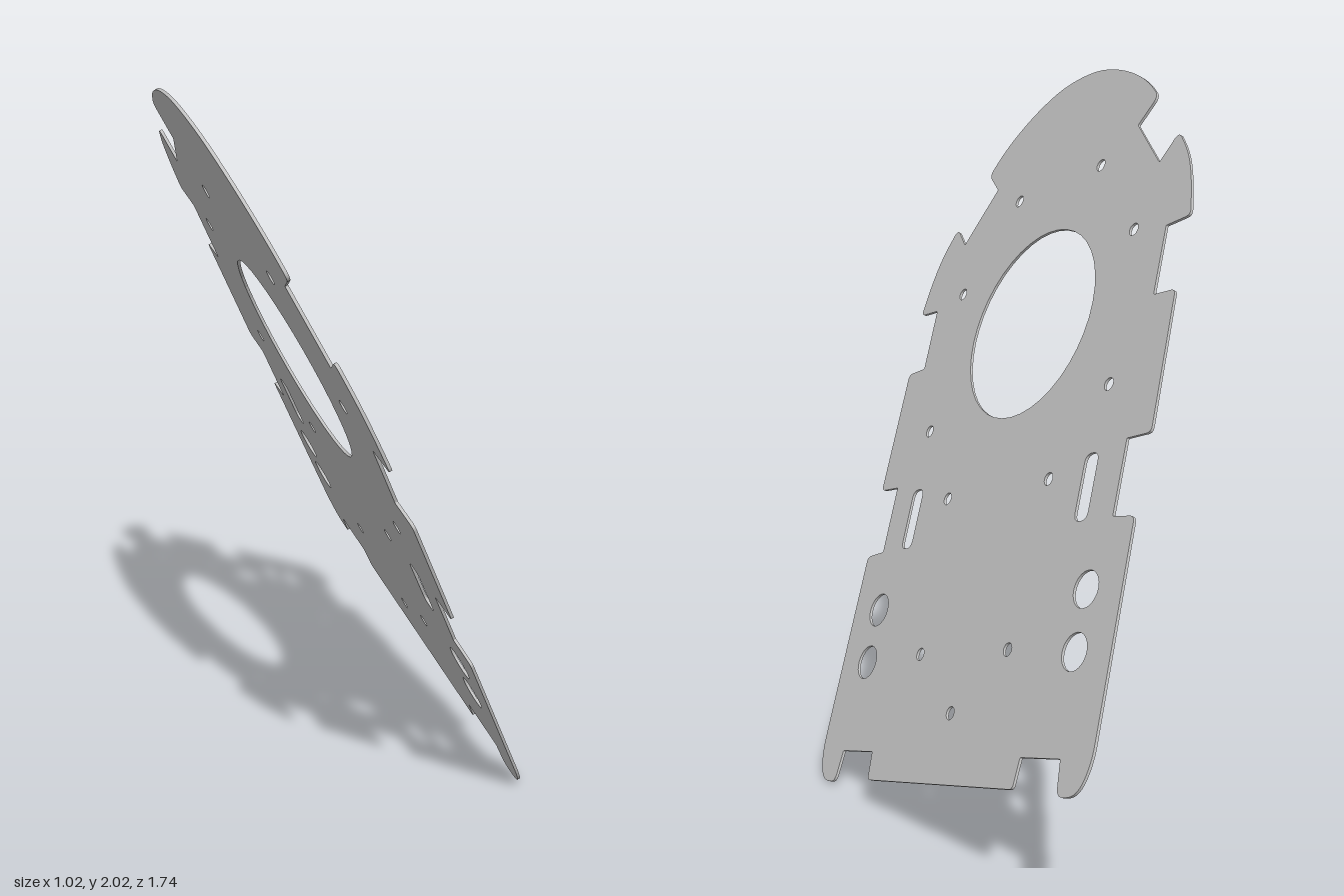
import * as THREE from 'three';

const THICKNESS = 0.008;

// Closed outline from [x, y, cornerRadius] points, each corner rounded by a quadratic curve
function roundedOutline(path, points) {
  const n = points.length;
  const toward = (p, q, r) => {
    const a = new THREE.Vector2(p[0], p[1]);
    const d = new THREE.Vector2(q[0], q[1]).sub(a);
    const len = d.length();
    return a.addScaledVector(d, Math.min(r, len / 2) / len);
  };
  points.forEach((p, i) => {
    const a = toward(p, points[(i + n - 1) % n], p[2]);
    const b = toward(p, points[(i + 1) % n], p[2]);
    if (i === 0) path.moveTo(a.x, a.y);
    else path.lineTo(a.x, a.y);
    path.quadraticCurveTo(p[0], p[1], b.x, b.y);
  });
  path.closePath();
  return path;
}

function roundHole(x, y, r) {
  return new THREE.Path().absarc(x, y, r, 0, Math.PI * 2, true);
}

function slotHole(x, y, w, h, r) {
  return roundedOutline(new THREE.Path(), [
    [x - w, y - h, r], [x - w, y + h, r], [x + w, y + h, r], [x + w, y - h, r],
  ]);
}

export function createModel() {
  const group = new THREE.Group();
  const grey = new THREE.MeshStandardMaterial({ color: 0xc4c4c4 });
  grey.name = 'plate grey';

  // Right half of the outline, bottom to top; radius 1 blends a point into a smooth curve
  const half = [
    [0.349, -1.318, 0.015], [0.357, -1.239, 0.004], [0.52, -1.239, 0.004],
    // rounded foot
    [0.532, -1.33, 0.025], [0.607, -1.326, 1], [0.642, -1.25, 1], [0.642, -1.16, 0.06],
    // side tabs and notches
    [0.637, -0.645, 0.018], [0.551, -0.637, 0.004],
    [0.551, -0.432, 0.004], [0.644, -0.43, 0.018],
    [0.638, -0.042, 0.018], [0.552, -0.038, 0.004],
    [0.552, 0.16, 0.004], [0.647, 0.165, 0.02],
    // shoulder lobe
    [0.624, 0.275, 1], [0.592, 0.363, 1], [0.535, 0.443, 0.025],
    [0.471, 0.371, 0.004], [0.341, 0.528, 0.004],
    // domed head
    [0.41, 0.598, 0.025], [0.352, 0.663, 1], [0.275, 0.72, 1], [0.178, 0.77, 1], [0.07, 0.803, 1],
  ];
  const mirrored = half.map(([x, y, r]) => [-x, y, r]).reverse();
  const shape = roundedOutline(new THREE.Shape(), [...half, ...mirrored]);

  // Main opening and the single hole at the foot
  shape.holes.push(roundHole(0, 0, 0.288), roundHole(0.003, -1.129, 0.018));

  // Mirrored screw holes, cable holes and slots
  const screws = [[0.198, 0.447], [0.413, 0.186], [0.432, -0.265], [0.244, -0.502], [0.211, -0.963]];
  for (const s of [-1, 1]) {
    for (const [x, y] of screws) shape.holes.push(roundHole(s * x, y, 0.018));
    for (const y of [-0.82, -0.978]) shape.holes.push(roundHole(s * 0.497, y, 0.049));
    shape.holes.push(slotHole(s * 0.419, -0.545, 0.027, 0.092, 0.026));
  }

  const geometry = new THREE.ExtrudeGeometry(shape, {
    depth: THICKNESS, bevelEnabled: false, curveSegments: 20,
  });
  geometry.translate(0, 0, -THICKNESS / 2);

  const plate = new THREE.Mesh(geometry, grey);
  plate.name = 'mountingPlate';

  // Tilt the flat plate into its leaning pose
  const across = new THREE.Vector3(-0.562, 0.305, -0.769).normalize();
  const normal = across.clone().cross(new THREE.Vector3(-0.196, 0.85, 0.489)).normalize();
  const up = normal.clone().cross(across);
  plate.quaternion.setFromRotationMatrix(new THREE.Matrix4().makeBasis(across, up, normal));
  plate.position.set(-0.1, 1.295, 0.235);

  group.add(plate);
  return group;
}
